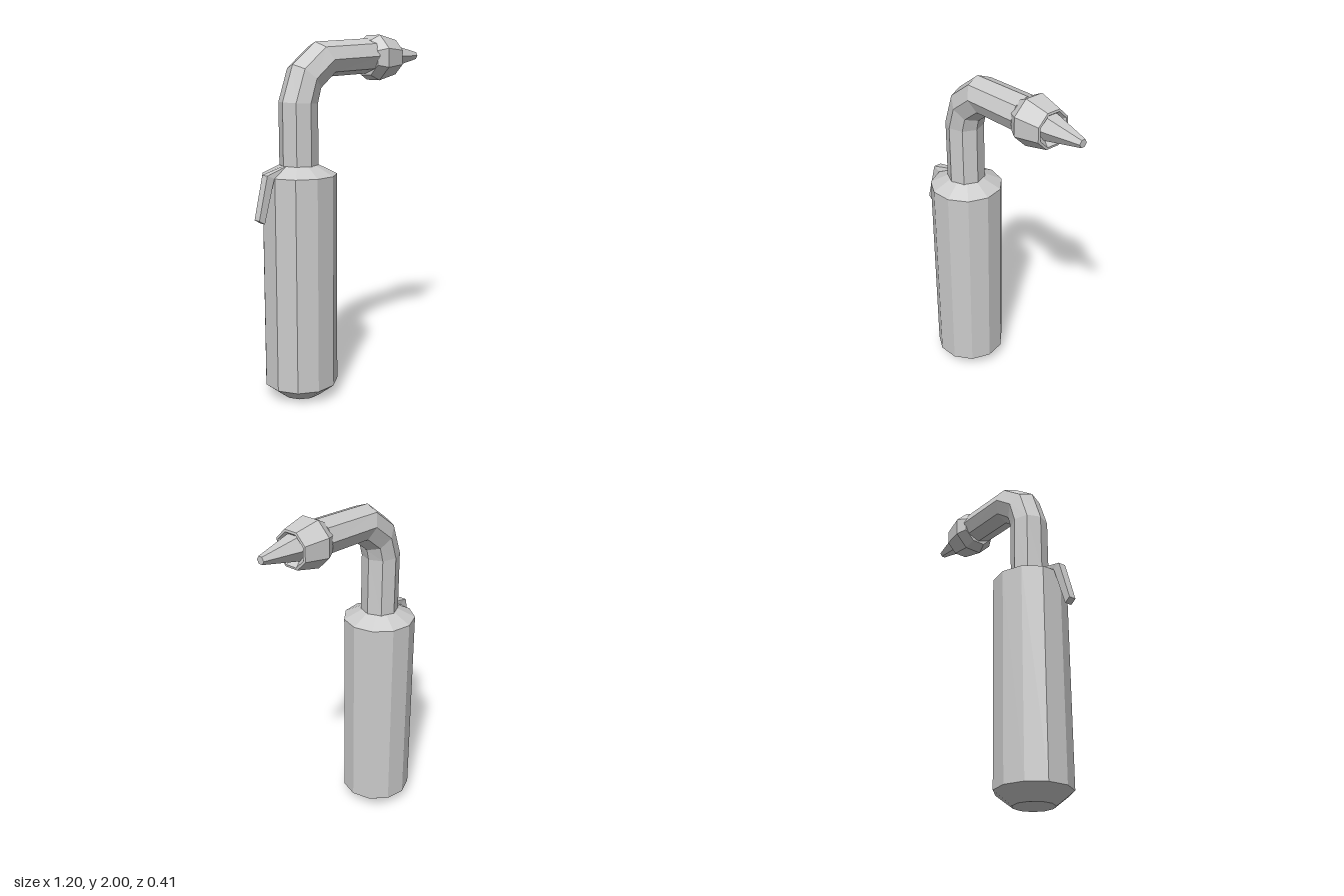
import * as THREE from 'three';

const material = new THREE.MeshStandardMaterial({ color: 0xcccccc, flatShading: true });

function addMesh(group, name, geometry, x = 0, y = 0, z = 0) {
  const mesh = new THREE.Mesh(geometry, material);
  mesh.name = name;
  mesh.position.set(x, y, z);
  group.add(mesh);
}

// Faceted solid of revolution from [radius, height] pairs
function turned(profile, sides, phase = 0) {
  const points = profile.map(([r, h]) => new THREE.Vector2(r, h));
  return new THREE.LatheGeometry(points, sides, THREE.MathUtils.degToRad(phase));
}

// Skin over equal-length rings of [x, y, z] points, capped at both ends
function loft(rings) {
  const n = rings[0].length;
  const last = (rings.length - 1) * n;
  const index = [];
  for (let r = 0; r < rings.length - 1; r++) {
    for (let i = 0; i < n; i++) {
      const a = r * n + i, b = r * n + (i + 1) % n;
      index.push(a, b, a + n, b, b + n, a + n);
    }
  }
  for (let i = 1; i < n - 1; i++) {
    index.push(0, i + 1, i, last, last + i, last + i + 1);
  }
  const geometry = new THREE.BufferGeometry();
  geometry.setAttribute('position', new THREE.Float32BufferAttribute(rings.flat(2), 3));
  geometry.setIndex(index);
  geometry.computeVertexNormals();
  return geometry;
}

// Octagonal section spanning an outer and an inner point of the bend
function pipeRing([ox, oy, ix, iy]) {
  const cx = (ox + ix) / 2, cy = (oy + iy) / 2;
  const ux = ox - cx, uy = oy - cy, r = 0.107;
  return Array.from({ length: 8 }, (_, i) => {
    const a = i * Math.PI / 4;
    return [cx + ux * Math.cos(a), cy + uy * Math.cos(a), r * Math.sin(a)];
  });
}

// Rectangular lever section: outer edge, inner edge, z range
function leverRing([ox, oy, ix, iy, z0, z1]) {
  return [[ox, oy, z1], [ox, oy, z0], [ix, iy, z0], [ix, iy, z1]];
}

export function createModel() {
  const group = new THREE.Group();
  group.name = 'blowtorch';

  // Gas bottle with chamfered base and shoulder
  addMesh(group, 'gasBottle', turned([
    [0, 0], [0.112, 0], [0.207, 0.075], [0.207, 1.26], [0.105, 1.312], [0, 1.312],
  ], 11, 21.5), -0.293);

  // Bent neck pipe
  addMesh(group, 'neckPipe', loft([
    [-0.4, 1.3, -0.187, 1.3],
    [-0.4, 1.65, -0.19, 1.64],
    [-0.33, 1.845, -0.175, 1.7],
    [-0.175, 1.962, -0.08, 1.775],
    [0.21, 1.98, 0.21, 1.785],
  ].map(pipeRing)));

  // Burner head with a recessed mouth
  const head = turned([
    [0, 0.2], [0.105, 0.2], [0.137, 0.258], [0.105, 0.398], [0.092, 0.4], [0.06, 0.36], [0, 0.36],
  ], 8, 22.5).rotateZ(-Math.PI / 2);
  addMesh(group, 'burnerHead', head, 0, 1.873);

  // Tapered nozzle
  const nozzle = turned([
    [0, 0.355], [0.078, 0.355], [0.023, 0.6], [0, 0.6],
  ], 6).rotateZ(-Math.PI / 2);
  addMesh(group, 'nozzle', nozzle, 0, 1.88);

  // Trigger lever hooked over the shoulder
  addMesh(group, 'triggerLever', loft([
    [-0.37, 1.318, -0.39, 1.295, -0.01, 0.01],
    [-0.54, 1.28, -0.495, 1.262, 0, 0.045],
    [-0.602, 1.05, -0.567, 1.028, 0.01, 0.052],
  ].map(leverRing)));

  return group;
}
